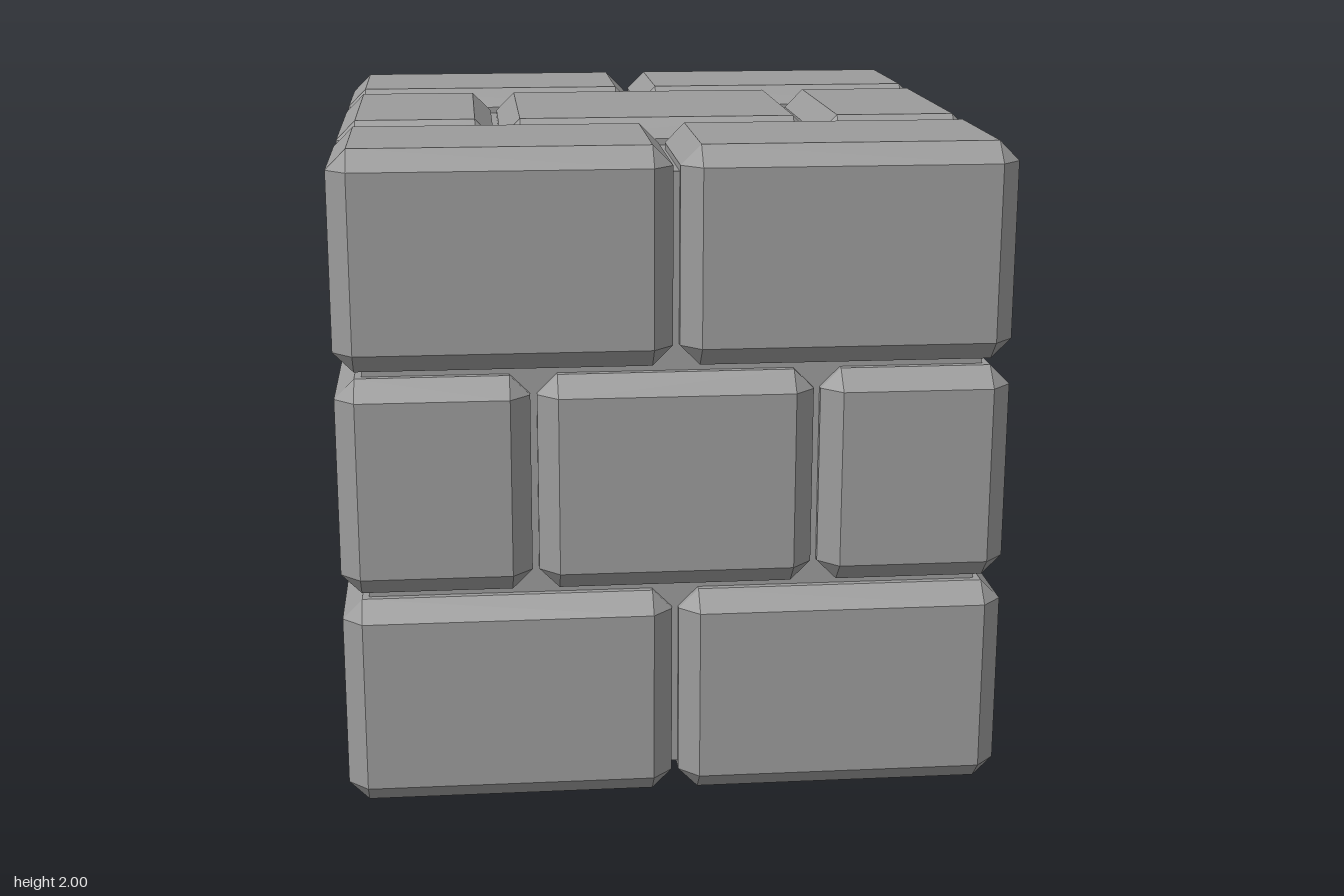
import * as THREE from 'three';
import { ConvexGeometry } from 'three/addons/geometries/ConvexGeometry.js';

const BEVEL = 0.06;

// Box with every edge cut at 45 degrees and a small triangle at every corner
function chamferedBox(w, h, d, c) {
  const points = [];
  for (const sx of [-1, 1]) for (const sy of [-1, 1]) for (const sz of [-1, 1]) {
    const x = w / 2, y = h / 2, z = d / 2;
    points.push(
      new THREE.Vector3(sx * x, sy * (y - c), sz * (z - c)),
      new THREE.Vector3(sx * (x - c), sy * y, sz * (z - c)),
      new THREE.Vector3(sx * (x - c), sy * (y - c), sz * z),
    );
  }
  return new ConvexGeometry(points);
}

// One course: outer rows of two bricks, a middle row of three, as [start, end] spans
const halves = [[-1, -0.01], [0.01, 1]];
const thirds = [[-1, -0.51], [-0.49, 0.49], [0.51, 1]];
const courseRows = (middle) => [
  { z: [-1, -middle - 0.02], spans: halves },
  { z: [-middle, middle], spans: thirds },
  { z: [middle + 0.02, 1], spans: halves },
];

export function createModel() {
  const model = new THREE.Group();
  model.name = 'brickBlock';
  const material = new THREE.MeshStandardMaterial({ color: 0x9b9b9b, flatShading: true });

  // Mortar core set back behind the bricks
  const core = new THREE.Mesh(new THREE.BoxGeometry(1.84, 1.84, 1.84), material);
  core.name = 'mortarCore';
  core.position.y = 1;
  model.add(core);

  // Three courses, the middle one turned a quarter so the joints stagger
  const courses = [
    { name: 'bottomCourse', y: [0, 0.65], turn: 0, middle: 0.4 },
    { name: 'middleCourse', y: [0.67, 1.33], turn: Math.PI / 2, middle: 0.41 },
    { name: 'topCourse', y: [1.35, 2], turn: 0, middle: 0.4 },
  ];
  for (const { name, y: [y0, y1], turn, middle } of courses) {
    const course = new THREE.Group();
    course.name = name;
    course.rotation.y = turn;
    for (const { z: [z0, z1], spans } of courseRows(middle)) {
      for (const [x0, x1] of spans) {
        const brick = new THREE.Mesh(chamferedBox(x1 - x0, y1 - y0, z1 - z0, BEVEL), material);
        brick.name = 'brick';
        brick.position.set((x0 + x1) / 2, (y0 + y1) / 2, (z0 + z1) / 2);
        course.add(brick);
      }
    }
    model.add(course);
  }
  return model;
}
